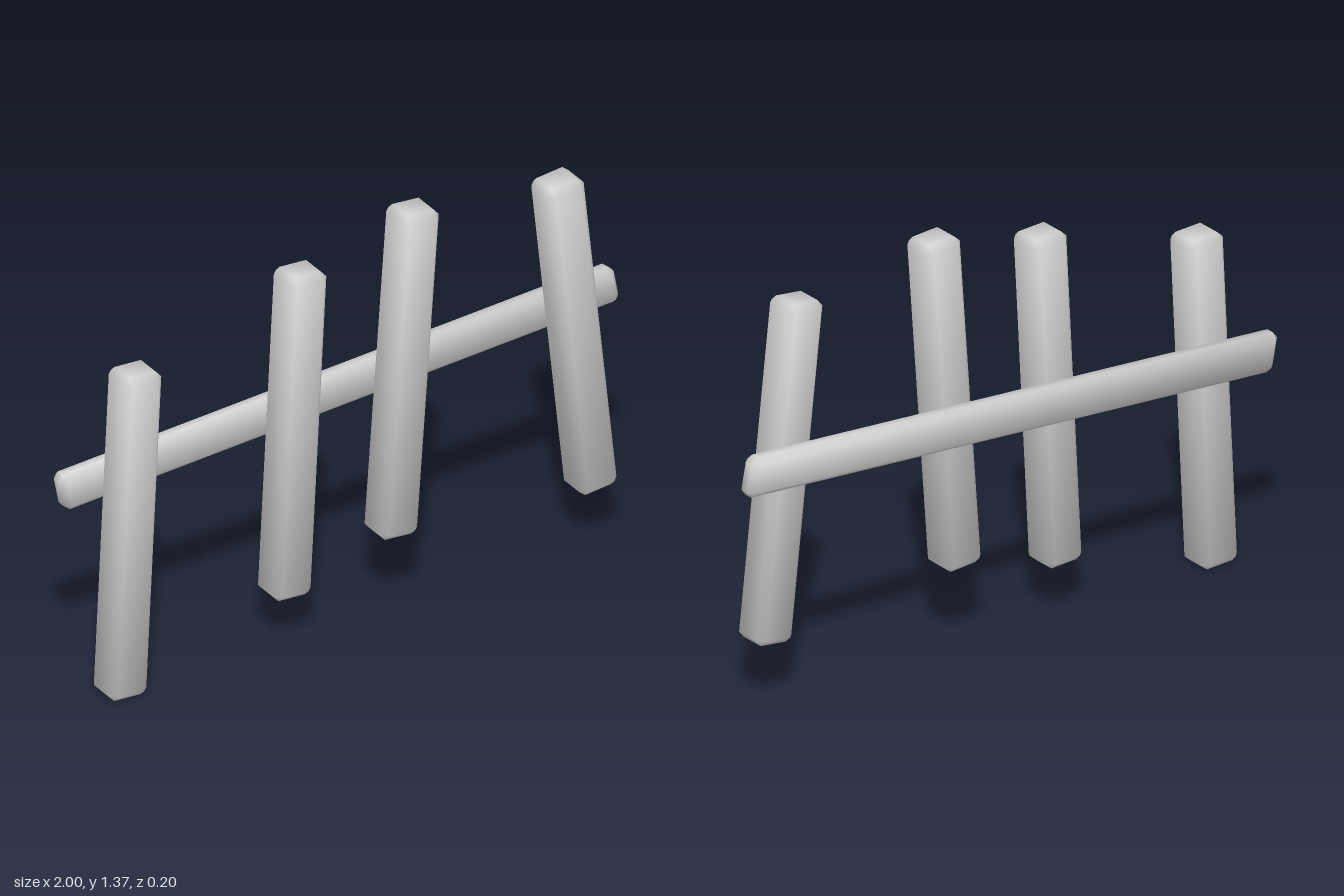
import * as THREE from 'three';
import { ConvexGeometry } from 'three/addons/geometries/ConvexGeometry.js';

const material = new THREE.MeshStandardMaterial({ color: 0xcccccc });

// Box with every edge cut by a chamfer c and soft normals blended across the cuts
function chamferedBox(w, h, d, c) {
  const half = [w / 2, h / 2, d / 2];
  const points = [];
  for (const sx of [-1, 1]) for (const sy of [-1, 1]) for (const sz of [-1, 1]) {
    for (let axis = 0; axis < 3; axis++) {
      const p = [sx, sy, sz].map((s, i) => s * (half[i] - (i === axis ? 0 : c)));
      points.push(new THREE.Vector3(...p));
    }
  }
  const geometry = new ConvexGeometry(points);
  const pos = geometry.attributes.position;
  const n = new THREE.Vector3();
  for (let i = 0; i < pos.count; i++) {
    const p = [pos.getX(i), pos.getY(i), pos.getZ(i)];
    n.set(...p.map((v, k) => Math.sign(v) * (half[k] - Math.abs(v) < c / 2 ? 3 : 1.25))).normalize();
    geometry.attributes.normal.setXYZ(i, n.x, n.y, n.z);
  }
  return geometry;
}

export function createModel() {
  const model = new THREE.Group();
  model.name = 'fence';

  // Leaning pickets: x, y of the centre and tilt
  const pickets = [
    [-0.808, 0.557, -0.05],
    [-0.22, 0.723, -0.053],
    [0.171, 0.817, -0.073],
    [0.786, 0.758, 0.11],
  ];
  const picketGeometry = chamferedBox(0.134, 1.107, 0.125, 0.02);
  pickets.forEach(([x, y, tilt], i) => {
    const picket = new THREE.Mesh(picketGeometry, material);
    picket.name = `picket${i + 1}`;
    picket.position.set(x, y, 0.036);
    picket.rotation.z = tilt;
    model.add(picket);
  });

  // Rail across the back, with slanted ends
  const railGeometry = chamferedBox(1.986, 0.128, 0.067, 0.02);
  railGeometry.applyMatrix4(new THREE.Matrix4().set(1, -0.13, 0, 0, 0, 1, 0, 0, 0, 0, 1, 0, 0, 0, 0, 1));
  const rail = new THREE.Mesh(railGeometry, material);
  rail.name = 'rail';
  rail.position.set(0, 0.76, -0.064);
  rail.rotation.z = 0.0625;
  model.add(rail);

  return model;
}
